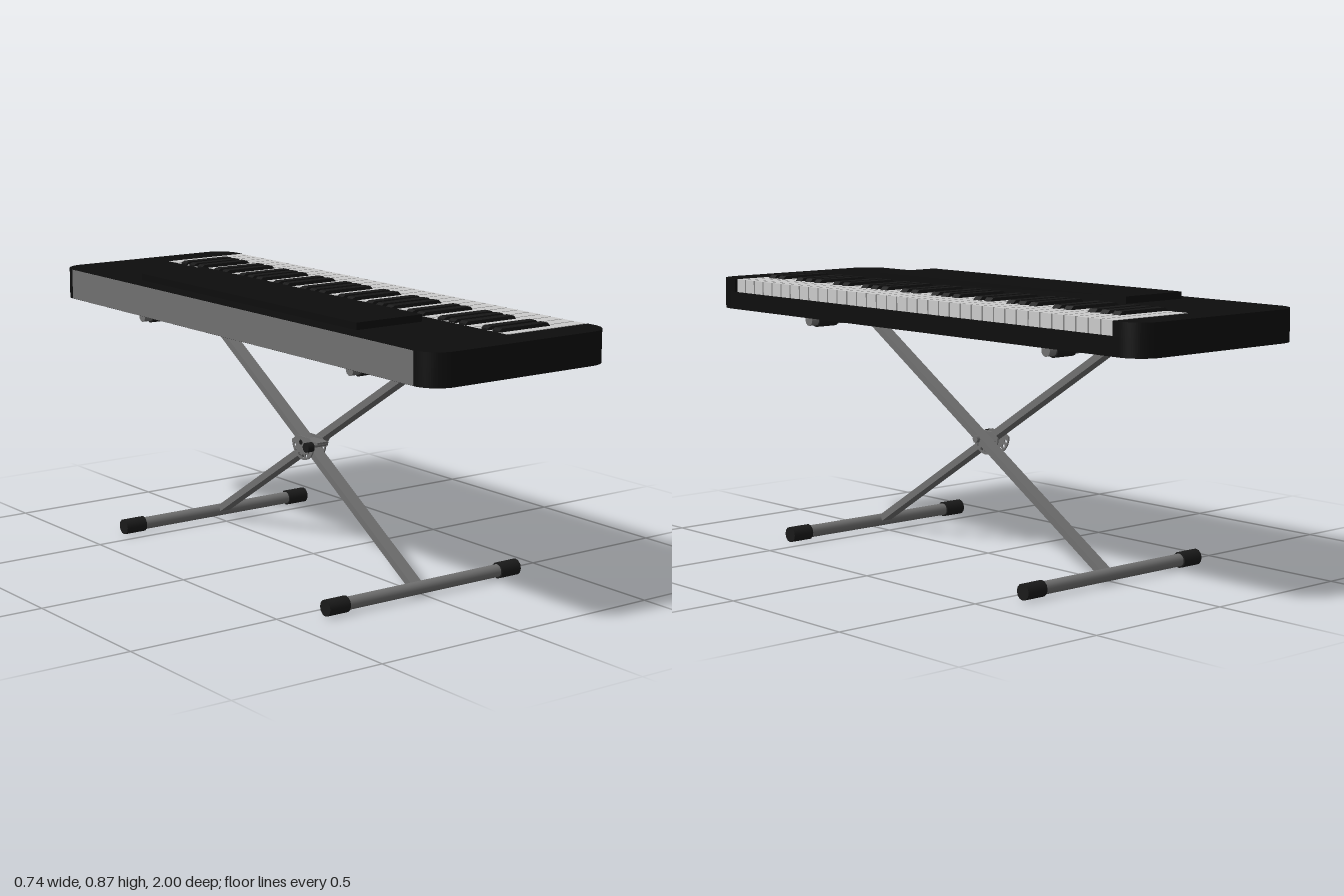
import * as THREE from 'three';

const mat = (color) => new THREE.MeshStandardMaterial({ color });

export function createModel() {
  const model = new THREE.Group();
  const black = mat(0x0d0d0d), rubber = mat(0x1a1a1a), steel = mat(0x707070);
  const ivory = mat(0xcccccc), ebony = mat(0x161616);

  const add = (name, geometry, material, x = 0, y = 0, z = 0, parent = model) => {
    const mesh = new THREE.Mesh(geometry, material);
    mesh.name = name;
    mesh.position.set(x, y, z);
    parent.add(mesh);
    return mesh;
  };
  const box = (name, m, x0, x1, y0, y1, z0, z1, parent) =>
    add(name, new THREE.BoxGeometry(x1 - x0, y1 - y0, z1 - z0), m,
      (x0 + x1) / 2, (y0 + y1) / 2, (z0 + z1) / 2, parent);
  // Round bar lying along x
  const rod = (name, m, r, x0, x1, y, z, sides = 20) =>
    add(name, new THREE.CylinderGeometry(r, r, x1 - x0, sides).rotateZ(Math.PI / 2), m, (x0 + x1) / 2, y, z);
  // Plan outline extruded upwards
  const slab = (name, shape, y0, y1, m) =>
    add(name, new THREE.ExtrudeGeometry(shape, { depth: y1 - y0, bevelEnabled: false, curveSegments: 10 })
      .rotateX(-Math.PI / 2), m, 0, y0, 0);

  // Case: rounded plan, with the upper layer notched for the keys
  const X0 = -0.335, X1 = 0.34, R = 0.08, KX = 0.03, KZ = 0.892;
  const plan = (notched) => {
    const s = new THREE.Shape();
    s.moveTo(X0 + R, -1);
    s.lineTo(X1 - R, -1);
    s.absarc(X1 - R, -1 + R, R, -Math.PI / 2, 0, false);
    if (notched) {
      // The notch cuts into the corner arc's end, so walk straight in
      s.lineTo(X1, -KZ);
      s.lineTo(KX, -KZ);
      s.lineTo(KX, KZ);
      s.lineTo(X1, KZ);
    }
    s.absarc(X1 - R, 1 - R, R, notched ? 0.0 : 0, Math.PI / 2, false);
    s.absarc(X0 + R, 1 - R, R, Math.PI / 2, Math.PI, false);
    s.absarc(X0 + R, -1 + R, R, Math.PI, Math.PI * 1.5, false);
    return s;
  };
  // Corner radius slightly below the key end so the notch stays clear of the arc
  slab('caseLower', plan(false), 0.745, 0.802, black);
  slab('caseUpper', plan(true), 0.802, 0.845, black);
  box('backPanel', steel, X0 - 0.002, X0 + 0.004, 0.746, 0.844, -0.92, 0.92);
  box('controlPanel', black, -0.272, -0.03, 0.84, 0.867, -0.58, 0.58);

  // Keys: 36 white, low C at +z, with black keys on the usual pattern
  const keys = new THREE.Group();
  keys.name = 'keys';
  model.add(keys);
  const count = 36, pitch = 1.78 / count, gap = 0.003;
  const profile = new THREE.Shape([[0.03, 0.84], [0.225, 0.84], [0.225, 0.846], [0.214, 0.856], [0.04, 0.856], [0.03, 0.85]]
    .map(([x, y]) => new THREE.Vector2(x, y)));
  const blackWidth = 0.03;
  const blackKey = new THREE.ExtrudeGeometry(profile, { depth: blackWidth, bevelEnabled: false });
  for (let i = 0; i < count; i++) {
    const z = 0.89 - i * pitch;
    box('whiteKey', ivory, KX, 0.334, 0.802, 0.8455, z - pitch + gap, z - gap, keys);
    if (i < count - 1 && [0, 1, 3, 4, 5].includes(i % 7))
      add('blackKey', blackKey, ebony, 0, 0, z - pitch - blackWidth / 2, keys);
  }

  // Folding X stand
  const footY = 0.026, topY = 0.728, Z = 0.563;
  for (const side of [-1, 1]) {
    rod('footTube', steel, 0.02, -0.36, 0.36, footY, side * Z);
    rod('supportTube', steel, 0.018, -0.284, 0.282, topY, side * Z);
    for (const end of [-1, 1]) {
      rod('footCap', rubber, 0.0255, end * 0.332 - 0.038, end * 0.332 + 0.038, footY, side * Z, 12);
      rod('supportGrip', rubber, 0.0235, end * 0.215 - 0.039, end * 0.215 + 0.039, topY, side * Z, 12);
    }
    // Crossed flat arms, side by side
    const length = Math.hypot(2 * Z, topY - footY);
    const arm = add('arm', new THREE.BoxGeometry(0.041, 0.022, length), steel, side * 0.0235, (footY + topY) / 2, 0);
    arm.rotation.x = -side * Math.atan2(topY - footY, 2 * Z);
  }

  // Pivot, perforated ratchet plate and locking knob
  const pivotY = (footY + topY) / 2;
  rod('pivotBolt', rubber, 0.008, -0.05, 0.05, pivotY, 0);
  rod('pivotNut', steel, 0.012, 0.043, 0.056, pivotY, 0, 6);
  const plate = new THREE.Shape();
  plate.absarc(0, 0, 0.058, Math.PI, Math.PI * 2, false);
  plate.lineTo(0.03, 0.018);
  plate.lineTo(-0.03, 0.018);
  for (let i = 0; i < 7; i++) {
    const a = Math.PI * (1.11 + i * 0.13);
    const hole = new THREE.Path();
    hole.absarc(Math.cos(a) * 0.046, Math.sin(a) * 0.046, 0.006, 0, Math.PI * 2, true);
    plate.holes.push(hole);
  }
  const plateGeometry = new THREE.ExtrudeGeometry(plate, { depth: 0.004, bevelEnabled: false, curveSegments: 16 })
    .rotateY(-Math.PI / 2);
  for (const x of [0.002, -0.045])
    add('ratchetPlate', plateGeometry, steel, x, pivotY + 0.002, 0.01);
  rod('knobShaft', steel, 0.006, -0.058, 0.004, pivotY, 0.068);
  rod('knob', rubber, 0.016, -0.08, -0.056, pivotY - 0.002, 0.068, 12);
  box('knobBracket', steel, -0.047, -0.003, pivotY + 0.006, pivotY + 0.012, 0.01, 0.085);

  return model;
}
